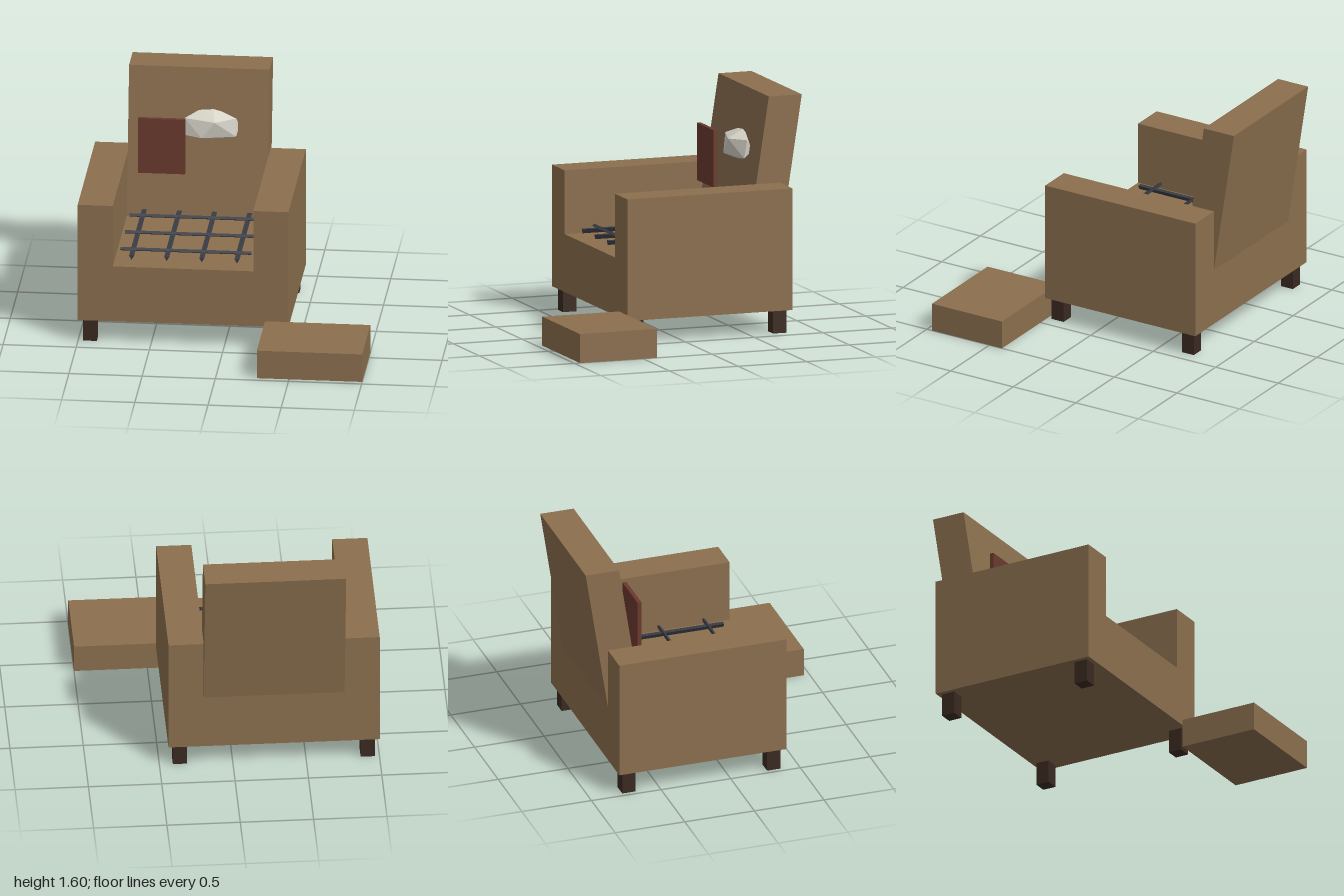
import * as THREE from 'three';
import { ConvexGeometry } from 'three/addons/geometries/ConvexGeometry.js';

const material = (name, color, flatShading = false) => {
  const m = new THREE.MeshStandardMaterial({ color, flatShading });
  m.name = name;
  return m;
};

export function createModel() {
  const tan = material('tan upholstery', 0x8b6f4e);
  const darkWood = material('dark wood', 0x3a2a20);
  const red = material('red brown board', 0x6b3a2e);
  const stone = material('pale stone', 0xd6d3c8, true);
  const iron = material('dark iron', 0x3a3c44, true);

  const model = new THREE.Group();
  model.name = 'armchair';

  const add = (name, geometry, mat, x = 0, y = 0, z = 0) => {
    const mesh = new THREE.Mesh(geometry, mat);
    mesh.name = name;
    mesh.position.set(x, y, z);
    model.add(mesh);
    return mesh;
  };
  const box = (name, mat, w, h, d, x, y, z) =>
    add(name, new THREE.BoxGeometry(w, h, d), mat, x, y, z);
  const outline = (points) => new THREE.Shape(points.map(([x, y]) => new THREE.Vector2(x, y)));

  // Seat and arms: one U-shaped body
  const body = outline([
    [-1, 0.16], [0.44, 0.16], [0.44, 1], [0.2, 1],
    [0.2, 0.56], [-0.76, 0.56], [-0.76, 1], [-1, 1],
  ]);
  add('seatAndArms', new THREE.ExtrudeGeometry(body, { depth: 1.2, bevelEnabled: false }), tan, 0, 0, -0.8);

  // Leaning backrest: side outline drawn in (-z, y), swept across the width
  const side = outline([[0.56, 0.56], [0.8, 0.56], [0.96, 1.6], [0.72, 1.6]]);
  const back = new THREE.ExtrudeGeometry(side, { depth: 0.96, bevelEnabled: false });
  back.rotateY(Math.PI / 2);
  add('backrest', back, tan, -0.76, 0, 0);

  // Legs
  for (const x of [-0.92, 0.36]) {
    for (const z of [-0.72, 0.32]) box('leg', darkWood, 0.096, 0.16, 0.096, x, 0.08, z);
  }

  // Footstool
  box('footstool', tan, 0.72, 0.2, 0.56, 0.64, 0.1, 0.68);

  // Lattice of three-sided rods over the seat
  const longRod = new THREE.CylinderGeometry(0.02, 0.02, 0.92, 3).rotateX(Math.PI / 2);
  for (const x of [-0.64, -0.4, -0.16, 0.08]) add('longRod', longRod, iron, x, 0.6, -0.145);
  const crossRod = new THREE.CylinderGeometry(0.014, 0.014, 0.896, 3).rotateZ(Math.PI / 2);
  for (const z of [-0.44, -0.12, 0.2]) add('crossRod', crossRod, iron, -0.28, 0.612, z);

  // Upright board in front of the backrest
  box('board', red, 0.32, 0.396, 0.028, -0.52, 1.086, -0.546);

  // Faceted lump set into the backrest
  const lump = [
    [-0.16, 1.26, -0.56], [-0.25, 1.145, -0.56], [-0.37, 1.265, -0.62], [-0.39, 1.145, -0.62],
    [-0.02, 1.265, -0.645], [-0.02, 1.14, -0.625], [0, 1.2, -0.68], [-0.18, 1.322, -0.69],
    [-0.27, 1.31, -0.68], [-0.22, 1.105, -0.655], [-0.4, 1.2, -0.68], [-0.2, 1.2, -0.74],
  ].map((p) => new THREE.Vector3(...p));
  add('stoneLump', new ConvexGeometry(lump), stone);

  return model;
}
